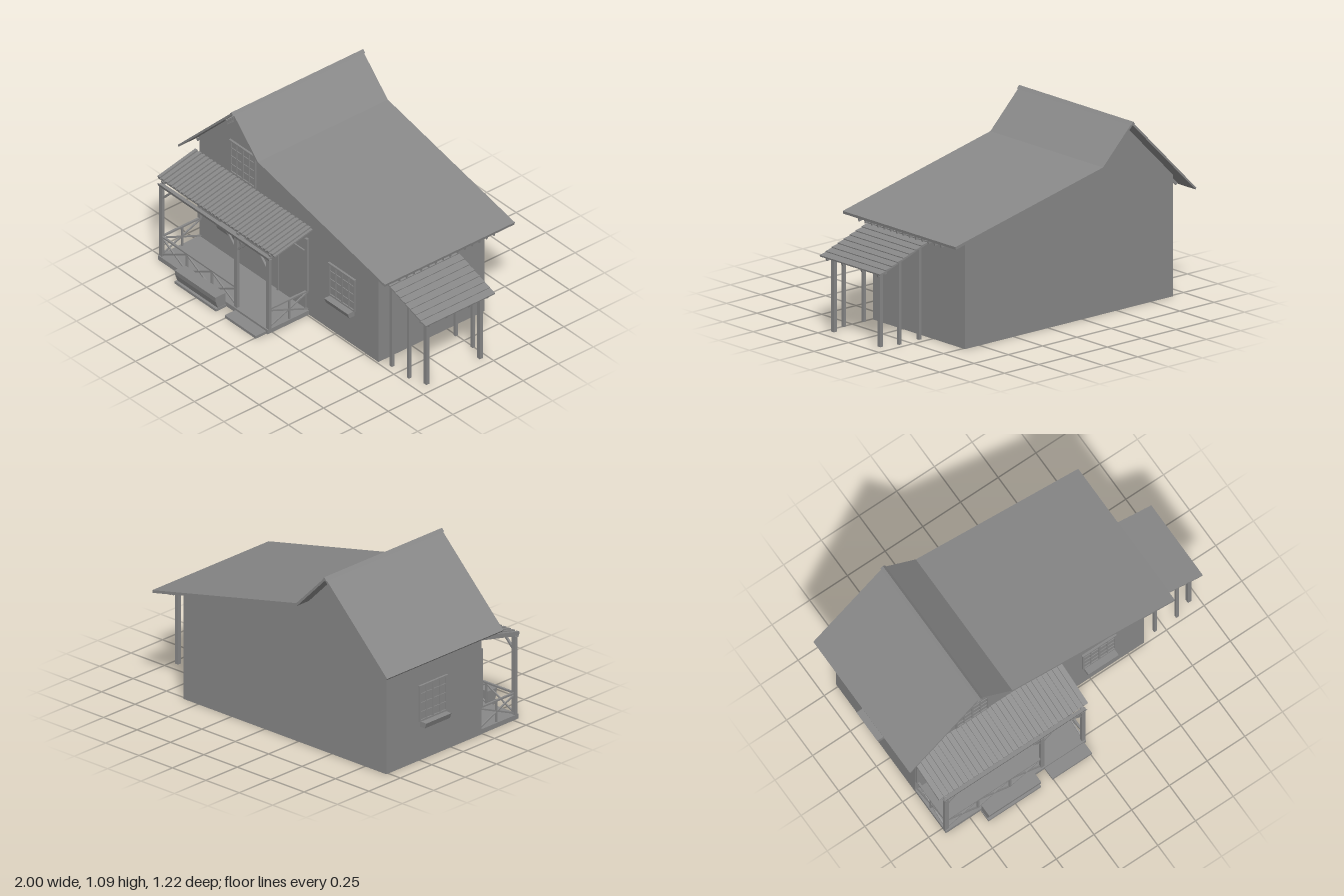
import * as THREE from 'three';

const grey = new THREE.MeshStandardMaterial({ color: 0x888888, flatShading: true });
const greyBoth = new THREE.MeshStandardMaterial({ color: 0x888888, flatShading: true, side: THREE.DoubleSide });

function part(name, geometry, parent, material = grey) {
  const mesh = new THREE.Mesh(geometry, material);
  mesh.name = name;
  parent.add(mesh);
  return mesh;
}

// Box given by its minimum and maximum corners
function box(parent, name, x0, x1, y0, y1, z0, z1) {
  const mesh = part(name, new THREE.BoxGeometry(x1 - x0, y1 - y0, z1 - z0), parent);
  mesh.position.set((x0 + x1) / 2, (y0 + y1) / 2, (z0 + z1) / 2);
}

// Square timber running from point a to point b
function bar(parent, name, a, b, w, h = w) {
  const from = new THREE.Vector3(...a), to = new THREE.Vector3(...b);
  const mesh = part(name, new THREE.BoxGeometry(w, h, from.distanceTo(to)), parent);
  mesh.position.copy(from).lerp(to, 0.5);
  mesh.lookAt(to);
}

const shapeOf = pts => new THREE.Shape(pts.map(p => new THREE.Vector2(...p)));
const extrude = (pts, depth) => new THREE.ExtrudeGeometry(shapeOf(pts), { depth, bevelEnabled: false });

function group(parent, name) {
  const g = new THREE.Group();
  g.name = name;
  parent.add(g);
  return g;
}

// Window facing +z, origin at the bottom centre of the frame
function makeWindow(parent, name, w, h, flowerBox) {
  const g = group(parent, name), r = w / 2, t = 0.01;
  box(g, 'windowPane', -r, r, 0, h, 0.001, 0.003);
  for (const s of [-1, 1]) box(g, 'windowJamb', s * (r - t / 2) - t / 2, s * (r - t / 2) + t / 2, 0, h, 0.001, 0.01);
  box(g, 'windowSill', -r, r, 0, t, 0.001, 0.01);
  box(g, 'windowLintel', -r - 0.003, r + 0.003, h - t, h, 0.001, 0.014);
  for (const i of [-1, 0, 1]) {
    const m = i ? 0.003 : 0.006;
    box(g, 'verticalMuntin', i * w / 4 - m, i * w / 4 + m, t, h - t, 0.001, 0.009);
    box(g, 'crossMuntin', -r, r, h / 2 + i * h / 4 - 0.003, h / 2 + i * h / 4 + 0.003, 0.001, 0.008);
  }
  if (flowerBox) {
    const f = part('flowerBox', extrude([[0.001, -0.032], [0.038, -0.032], [0.05, 0], [0.001, 0]], w - 0.02), g);
    f.rotation.y = -Math.PI / 2;
    f.position.x = r - 0.01;
  }
  return g;
}

// Rail panel between two floor points, filled with crossed braces
function railing(parent, a, b, panels) {
  const at = (t, y) => [a[0] + (b[0] - a[0]) * t, y, a[1] + (b[1] - a[1]) * t];
  bar(parent, 'topRail', at(0, 0.156), at(1, 0.156), 0.012, 0.01);
  for (let i = 0; i < panels; i++) {
    const t0 = i / panels, t1 = (i + 1) / panels;
    bar(parent, 'crossBrace', at(t0, 0.036), at(t1, 0.148), 0.008);
    bar(parent, 'crossBrace', at(t0, 0.148), at(t1, 0.036), 0.008);
    if (i) bar(parent, 'baluster', at(t0, 0.03), at(t0, 0.156), 0.011);
  }
}

function makeHouse(root) {
  const house = group(root, 'house');
  // Thin walls, open at the bottom
  const gable = [[-0.91, 0], [0.607, 0], [0.607, 0.646], [-0.325, 0.853], [-0.535, 1.065], [-0.91, 0.691]];
  for (const [name, z, turn] of [['frontWall', 0.24, 1], ['backWall', -0.515, -1]]) {
    // The back gable is mirrored in x and turned to face outward
    const pts = gable.map(([x, y]) => [x * turn, y]);
    const wall = part(name, new THREE.ShapeGeometry(shapeOf(pts)), house, greyBoth);
    wall.rotation.y = turn > 0 ? 0 : Math.PI;
    wall.position.z = z;
  }
  for (const [name, x, h, turn] of [['leftWall', 0.607, 0.646, 1], ['rightWall', -0.91, 0.691, -1]]) {
    const wall = part(name, new THREE.PlaneGeometry(0.755, h), house, greyBoth);
    wall.rotation.y = turn * Math.PI / 2;
    wall.position.set(x, h / 2, -0.1375);
  }
  // Bent roof: steep gable running into a long shallow slope
  const roof = part('mainRoof', extrude([[-1, 0.62], [-0.994, 0.611], [-0.535, 1.067], [-0.325, 0.855],
    [0.754, 0.614], [0.757, 0.63], [-0.32, 0.87], [-0.535, 1.085]], 0.925), house);
  roof.position.z = -0.605;
  const cap = part('ridgeCap', extrude([[-0.551, 1.071], [-0.535, 1.078], [-0.519, 1.071], [-0.535, 1.089]], 0.938), house);
  cap.position.z = -0.611;
  for (let i = 0; i < 14; i++) {
    const z = 0.203 - i * 0.0518;
    bar(house, 'eaveRafter', [0.59, 0.638, z], [0.745, 0.604, z], 0.009, 0.022);
    bar(house, 'eaveRafter', [-0.9, 0.69, z], [-0.973, 0.617, z], 0.009, 0.016);
  }
  // Stepped trim tucked under the peak of the front gable
  for (const s of [-1, 1]) for (let i = 0; i < 4; i++) {
    const x = -0.535 + s * (0.012 + i * 0.017);
    box(house, 'gableTrim', x - 0.009, x + 0.009, 1.022 - i * 0.017, 1.045 - i * 0.017, 0.24, 0.31);
  }
  // Windows and door
  makeWindow(house, 'porchWindow', 0.22, 0.215, true).position.set(-0.613, 0.232, 0.24);
  makeWindow(house, 'frontWindow', 0.22, 0.215, true).position.set(0.306, 0.232, 0.24);
  makeWindow(house, 'atticWindow', 0.215, 0.215, false).position.set(-0.535, 0.602, 0.24);
  const side = makeWindow(house, 'sideWindow', 0.22, 0.215, true);
  side.rotation.y = -Math.PI / 2;
  side.position.set(-0.91, 0.232, -0.15);
  box(house, 'door', -0.235, -0.01, 0.03, 0.405, 0.241, 0.243);
  for (const x of [-0.245, -0.012]) box(house, 'doorJamb', x, x + 0.012, 0.03, 0.415, 0.241, 0.25);
  box(house, 'doorLintel', -0.245, 0, 0.403, 0.415, 0.241, 0.25);
}

function makePorch(root) {
  const porch = group(root, 'porch');
  box(porch, 'porchDeck', -0.91, 0.02, 0.002, 0.03, 0.241, 0.535);
  box(porch, 'doorStep', -0.255, 0.007, 0, 0.017, 0.535, 0.61);
  const posts = [-0.898, -0.262, 0.009], zf = 0.518;
  for (const x of posts) {
    box(porch, 'porchPost', x - 0.012, x + 0.012, 0.03, 0.495, zf - 0.01, zf + 0.01);
    // Knee braces along the front, kept inside the porch width
    for (const s of [-1, 1]) {
      if (x + s * 0.1 < -0.91 || x + s * 0.1 > 0.02) continue;
      bar(porch, 'kneeBrace', [x + s * 0.008, 0.415, zf], [x + s * 0.085, 0.492, zf], 0.012);
    }
    bar(porch, 'porchRafter', [x, 0.507, zf - 0.004], [x, 0.567, 0.241], 0.018, 0.022);
  }
  box(porch, 'porchBeam', -0.91, 0.021, 0.488, 0.503, zf - 0.01, zf + 0.01);
  for (const x of [posts[0], posts[2]]) {
    box(porch, 'wallPost', x - 0.01, x + 0.01, 0.16, 0.505, 0.241, 0.255);
    railing(porch, [x, zf], [x, 0.241], 1);
    bar(porch, 'baluster', [x, 0.03, 0.373], [x, 0.156, 0.373], 0.01);
  }
  railing(porch, [posts[0], zf], [posts[1], zf], 3);

  // Ribbed sheet: a stepped profile pushed along the slope
  const ribs = 30, pitch = 0.99 / ribs, top = [];
  for (let i = 0; i < ribs; i++) {
    const x = -0.94 + i * pitch;
    top.push([x, 0.012], [x + pitch * 0.55, 0.012], [x + pitch * 0.55, 0.002], [x + pitch, 0.002]);
  }
  const sheet = part('porchRoof', extrude([[0.05, -0.006], [-0.94, -0.006], ...top], Math.hypot(0.062, 0.27)), porch);
  sheet.rotation.x = Math.atan2(0.062, 0.27);
  sheet.position.set(0, 0.584, 0.241);
  // Open gutter along the porch edge
  const gutter = part('porchGutter', extrude([[0.51, 0.49], [0.531, 0.49], [0.537, 0.51], [0.534, 0.51],
    [0.528, 0.495], [0.51, 0.495]].map(([z, y]) => [-z, y]), 0.942), porch);
  gutter.rotation.y = Math.PI / 2;
  gutter.position.x = -0.915;

  // Flared planter standing before the porch
  box(porch, 'planterFoot', -0.68, -0.33, 0, 0.016, 0.538, 0.61);
  const planter = part('planter', extrude([[-0.54, 0.016], [-0.54, 0.092], [-0.613, 0.092], [-0.609, 0.06], [-0.594, 0.016]], 0.345), porch);
  planter.rotation.y = Math.PI / 2;
  planter.position.x = -0.677;
}

function makeLeanTo(root) {
  const shed = group(root, 'leanTo');
  const roofY = x => 0.572 - (x - 0.605) * 0.34;
  // Overlapping roof boards
  const boards = 9, step = 0.391 / boards;
  for (let i = 0; i < boards; i++) {
    const x = 0.607 + i * step;
    bar(shed, 'roofBoard', [x, roofY(x) - 0.001, -0.013], [x + step + 0.003, roofY(x + step) + 0.004, -0.013], 0.493, 0.009);
  }
  for (const z of [0.197, 0.07, -0.09, -0.222])
    bar(shed, 'leanToRafter', [0.608, roofY(0.608) - 0.016, z], [0.985, roofY(0.985) - 0.016, z], 0.012, 0.02);
  // Posts, the outer pair set slightly inward, joined by cross beams
  for (const [x, zFront, zBack, w] of [[0.695, 0.217, -0.237, 0.018], [0.84, 0.217, -0.237, 0.018], [0.945, 0.18, -0.2, 0.023]]) {
    const y = roofY(x) - 0.008, r = w / 2;
    for (const z of [zFront, zBack]) box(shed, 'leanToPost', x - r, x + r, 0.012, y, z - r, z + r);
    box(shed, 'leanToBeam', x - 0.008, x + 0.008, y - 0.016, y, -0.245, 0.225);
  }
}

export function createModel() {
  const root = new THREE.Group();
  root.name = 'cottage';
  makeHouse(root);
  makePorch(root);
  makeLeanTo(root);
  return root;
}
